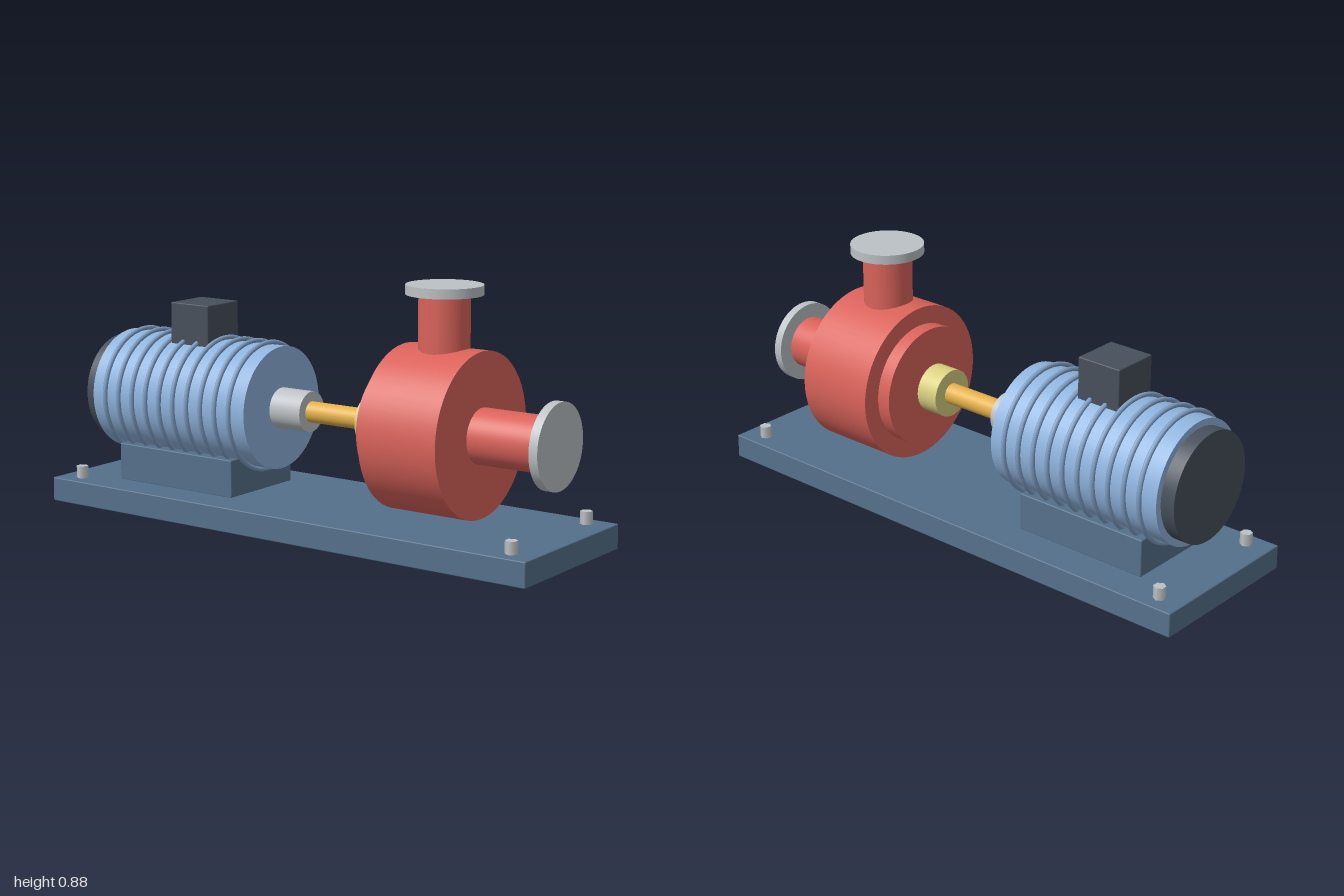
import * as THREE from 'three';
import { RoundedBoxGeometry } from 'three/addons/geometries/RoundedBoxGeometry.js';

const AXIS_Y = 0.393; // height of the shared shaft line

const paint = (color) => new THREE.MeshStandardMaterial({ color });
const steelBlue = paint(0x55708a);
const motorBlue = paint(0x8fb3dd);
const finBlue = paint(0x7f9fc6);
const darkGrey = paint(0x474f5b);
const silver = paint(0xbcc1c5);
const gold = paint(0xe3b04b);
const paleGold = paint(0xd8cf80);
const red = paint(0xd9625a);

export function createModel() {
  const model = new THREE.Group();

  const add = (parent, name, geometry, material, x, y, z) => {
    const mesh = new THREE.Mesh(geometry, material);
    mesh.name = name;
    mesh.position.set(x, y, z);
    parent.add(mesh);
    return mesh;
  };
  // Box given by its x and y ranges, centred on z
  const box = (parent, name, material, x0, x1, y0, y1, depth) =>
    add(parent, name, new RoundedBoxGeometry(x1 - x0, y1 - y0, depth, 2, 0.004),
      material, (x0 + x1) / 2, (y0 + y1) / 2, 0);
  // Cylinder along the shaft line between two x positions
  const drum = (parent, name, material, x0, x1, radius) => {
    const mesh = add(parent, name, new THREE.CylinderGeometry(radius, radius, x1 - x0, 64),
      material, (x0 + x1) / 2, AXIS_Y, 0);
    mesh.rotation.z = -Math.PI / 2;
    return mesh;
  };
  const group = (name) => {
    const g = new THREE.Group();
    g.name = name;
    model.add(g);
    return g;
  };

  // Base plate with a hexagonal bolt at each corner
  const base = group('base');
  box(base, 'basePlate', steelBlue, -1, 1, 0, 0.087, 0.605);
  for (const sx of [-1, 1]) {
    for (const sz of [-1, 1]) {
      add(base, 'bolt', new THREE.CylinderGeometry(0.0215, 0.0215, 0.05, 6),
        silver, sx * 0.912, 0.106, sz * 0.24);
    }
  }

  // Motor: finned body, end cover, foot and terminal box
  const motor = group('motor');
  box(motor, 'motorFoot', steelBlue, -0.785, -0.27, 0.085, 0.22, 0.347);
  drum(motor, 'motorBody', motorBlue, -0.87, -0.178, 0.218);
  drum(motor, 'fanCover', darkGrey, -0.922, -0.868, 0.194);
  box(motor, 'terminalBox', darkGrey, -0.61, -0.44, 0.57, 0.741, 0.172);
  for (let i = 0; i < 10; i++) {
    const fin = add(motor, 'coolingFin', new THREE.TorusGeometry(0.226, 0.0085, 8, 64),
      finBlue, -0.807 + i * 0.063, AXIS_Y, 0);
    fin.rotation.y = Math.PI / 2;
  }

  // Drive line between motor and pump
  const drive = group('driveLine');
  drum(drive, 'coupling', silver, -0.18, -0.048, 0.072);
  drum(drive, 'shaft', gold, -0.06, 0.31, 0.037);
  drum(drive, 'sealCollar', paleGold, 0.195, 0.28, 0.086);

  // Pump casing with suction and discharge nozzles
  const pump = group('pump');
  drum(pump, 'backCover', red, 0.295, 0.35, 0.217);
  drum(pump, 'casing', red, 0.347, 0.648, 0.282);
  drum(pump, 'suctionPipe', red, 0.64, 0.915, 0.095);
  drum(pump, 'suctionFlange', silver, 0.912, 0.944, 0.147);
  add(pump, 'dischargePipe', new THREE.CylinderGeometry(0.087, 0.087, 0.25, 48),
    red, 0.497, 0.73, 0);
  add(pump, 'dischargeFlange', new THREE.CylinderGeometry(0.13, 0.13, 0.033, 64),
    silver, 0.497, 0.867, 0);

  return model;
}
